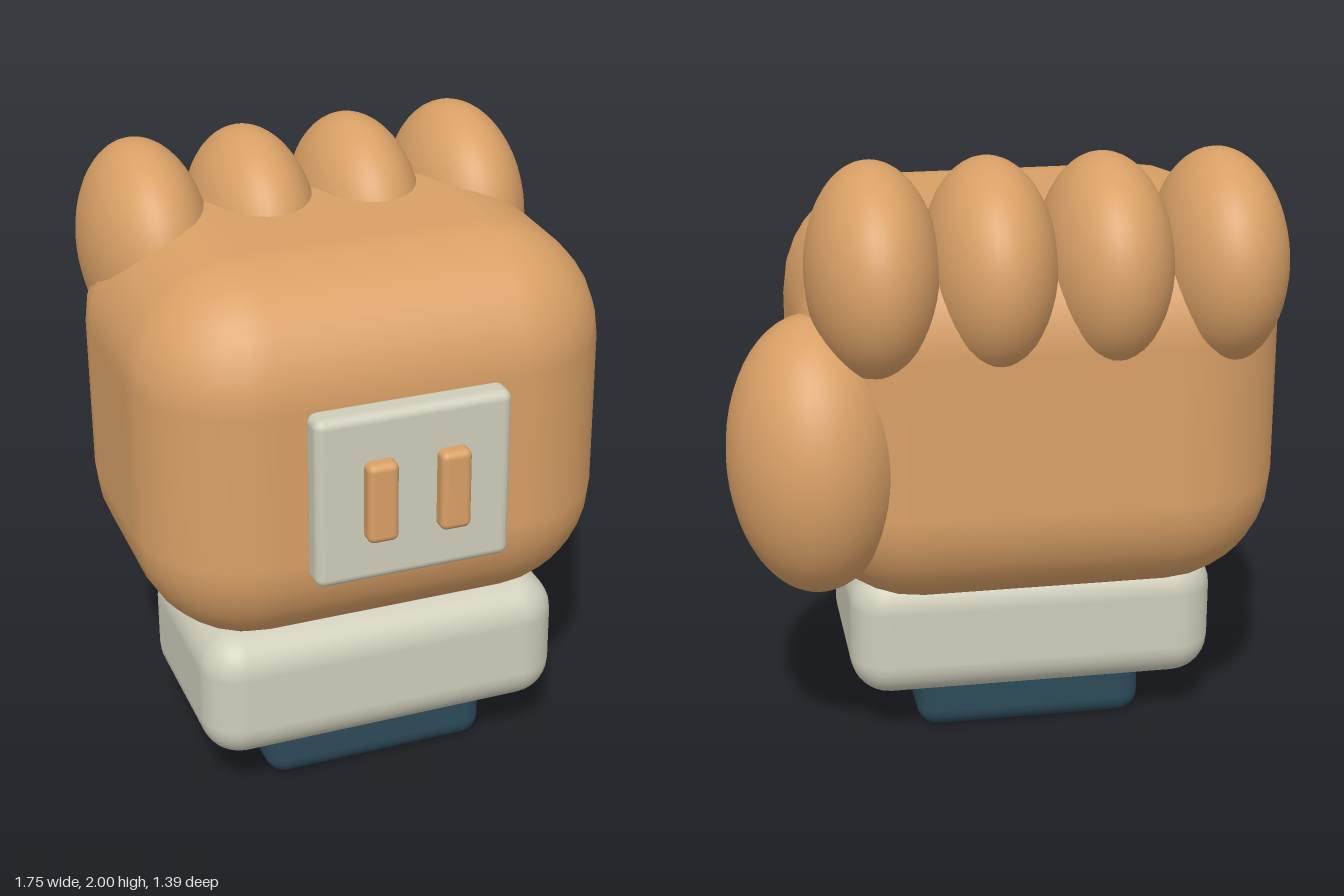
import * as THREE from 'three';
import { RoundedBoxGeometry } from 'three/addons/geometries/RoundedBoxGeometry.js';

export function createModel() {
  const group = new THREE.Group();
  group.name = 'fist';

  const material = (name, color) => {
    const m = new THREE.MeshStandardMaterial({ color });
    m.name = name;
    return m;
  };
  const tan = material('tan', 0xd9a066);
  const cream = material('cream', 0xcfcdba);
  const teal = material('dark teal', 0x2c4a58);

  const add = (name, geometry, mat) => {
    const mesh = new THREE.Mesh(geometry, mat);
    mesh.name = name;
    group.add(mesh);
    return mesh;
  };

  // Rounded box given by its extents on each axis
  const block = (name, mat, [x0, x1], [y0, y1], [z0, z1], radius, segments = 4) =>
    add(name, new RoundedBoxGeometry(x1 - x0, y1 - y0, z1 - z0, segments, radius), mat)
      .position.set((x0 + x1) / 2, (y0 + y1) / 2, (z0 + z1) / 2);

  // Ellipsoid given by its centre and radii
  const ball = (name, mat, centre, radii) => {
    const mesh = add(name, new THREE.SphereGeometry(1, 40, 28), mat);
    mesh.position.set(...centre);
    mesh.scale.set(...radii);
  };

  // Wrist stub and cuff
  block('wrist', teal, [-0.495, 0.26], [0, 0.25], [-0.16, 0.34], 0.07);
  block('cuff', cream, [-0.72, 0.485], [0.165, 0.61], [-0.265, 0.45], 0.13);

  // Palm
  block('palm', tan, [-0.878, 0.64], [0.57, 1.818], [-0.59, 0.57], 0.37);

  // Four curled fingers in a row and the thumb
  for (let i = 0; i < 4; i++) {
    ball('finger' + (i + 1), tan, [-0.654 + i * 0.355, 1.665, -0.35], [0.205, 0.335, 0.343]);
  }
  ball('thumb', tan, [0.6, 1.095, -0.345], [0.27, 0.44, 0.35]);

  // Plate with two raised bars
  block('plate', cream, [-0.43, 0.195], [0.89, 1.45], [0.55, 0.648], 0.03);
  for (const x of [-0.232, 0]) {
    block('plateBar', tan, [x - 0.049, x + 0.049], [1.04, 1.302], [0.6, 0.695], 0.022);
  }

  return group;
}
